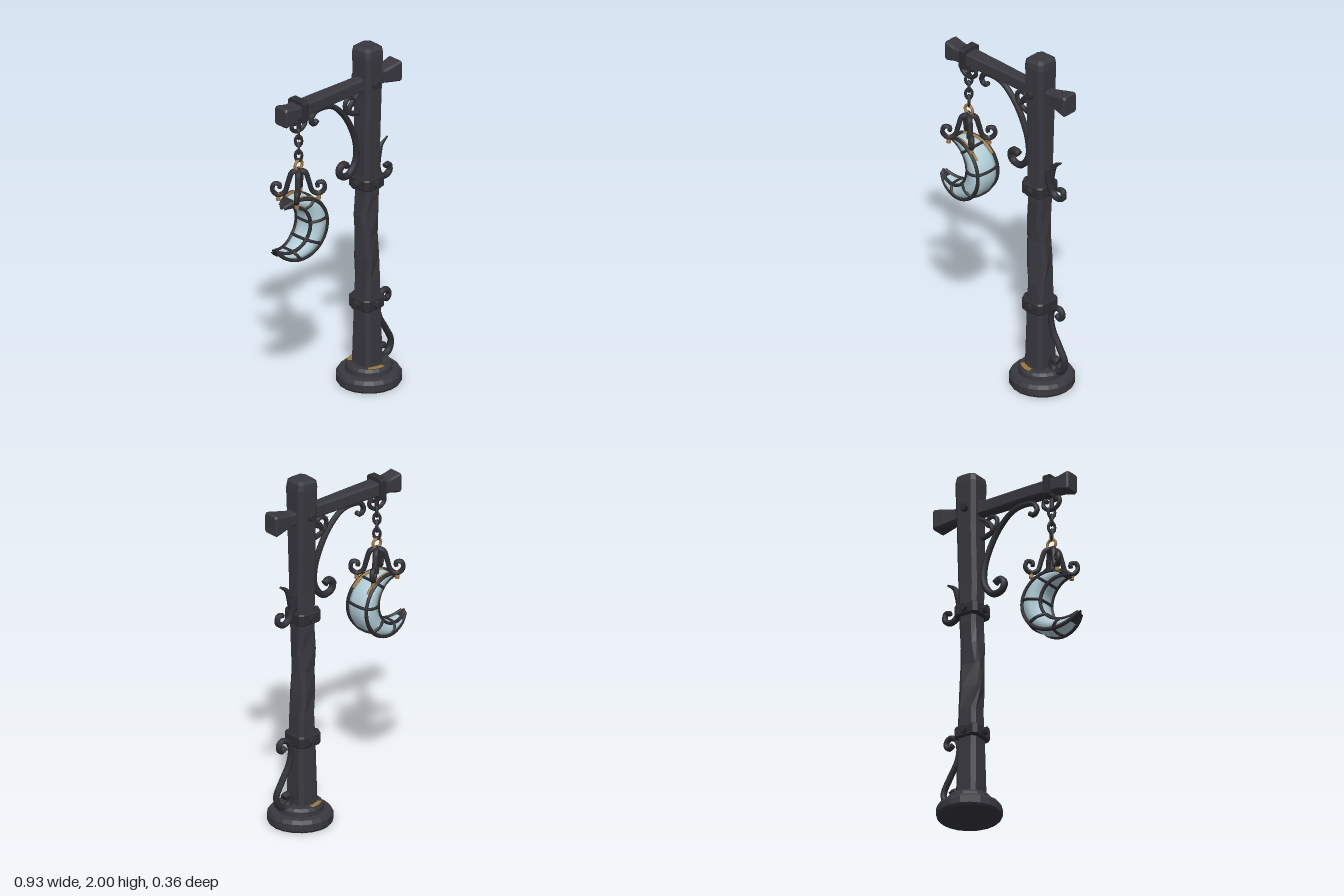
import * as THREE from 'three';

const V = (x, y, z) => new THREE.Vector3(x, y, z);
const paint = (name, color) => Object.assign(new THREE.MeshStandardMaterial({ color }), { name });

// Skin a row of rings (each counter-clockwise seen from the far end), with end caps
function loft(rings, flat = true) {
  const n = rings[0].length, pos = [], idx = [];
  rings.forEach(r => r.forEach(p => pos.push(p.x, p.y, p.z)));
  for (let i = 0; i < rings.length - 1; i++) for (let j = 0; j < n; j++) {
    const a = i * n + j, b = i * n + (j + 1) % n;
    idx.push(a, b, b + n, a, b + n, a + n);
  }
  const last = (rings.length - 1) * n;
  for (let j = 1; j < n - 1; j++) idx.push(0, j + 1, j, last, last + j, last + j + 1);
  let g = new THREE.BufferGeometry();
  g.setAttribute('position', new THREE.Float32BufferAttribute(pos, 3));
  g.setIndex(idx);
  if (flat) g = g.toNonIndexed();
  g.computeVertexNormals();
  return g;
}

// Chamfered rectangle outline as [u, v] pairs
function chamfer(a, b, c) {
  return [[a, -b + c], [a, b - c], [a - c, b], [-a + c, b], [-a, b - c], [-a, -b + c], [-a + c, -b], [a - c, -b]];
}

// Tapered wrought bar along a flat path in the xy plane
function scroll(points, r0, r1 = r0, depth = 1) {
  const curve = new THREE.CatmullRomCurve3(points.map(p => V(p[0], p[1], 0)));
  const steps = points.length * 5, rings = [];
  for (let i = 0; i <= steps; i++) {
    const t = i / steps, p = curve.getPointAt(t), d = curve.getTangentAt(t), r = r0 + (r1 - r0) * t;
    rings.push(Array.from({ length: 8 }, (_, k) => {
      const a = (k + 0.5) * Math.PI / 4, s = r * Math.sin(a);
      return V(p.x + d.y * s, p.y - d.x * s, r * depth * Math.cos(a));
    }));
  }
  return loft(rings, false);
}

export function createModel() {
  const root = new THREE.Group();
  const wood = paint('dark timber', 0x38383f);
  const iron = paint('dark iron', 0x2f2f34);
  const glass = paint('pale blue glass', 0xb4d0da);
  const gold = paint('aged gold', 0x9c7742);
  const add = (name, geo, mat, parent = root, x = 0, y = 0, z = 0) => {
    const m = new THREE.Mesh(geo, mat);
    m.name = name;
    m.position.set(x, y, z);
    parent.add(m);
    return m;
  };
  const flat = g => { const f = g.toNonIndexed(); f.computeVertexNormals(); return f; };

  // Stepped round base
  const profile = [[0, 0], [0.17, 0], [0.178, 0.012], [0.178, 0.05], [0.165, 0.07], [0.128, 0.073],
    [0.126, 0.1], [0.115, 0.115], [0, 0.115]].map(p => new THREE.Vector2(...p));
  add('base', flat(new THREE.LatheGeometry(profile, 20)), wood, root, 0.255);
  for (const s of [0.62, 1.38]) {
    const inlay = new THREE.RingGeometry(0.085, 0.114, 8, 1, Math.PI * s - 0.45, 0.9).rotateX(-Math.PI / 2);
    add('baseInlay', inlay, gold, root, 0.255, 0.118);
  }

  // Worn post: y, centre x, half width, half depth, twist
  const postRows = [[0.1, 0.243, 0.064, 0.072, 0], [0.45, 0.243, 0.059, 0.062, 0], [0.62, 0.245, 0.055, 0.058, 0.05],
    [0.75, 0.238, 0.06, 0.054, 0.3], [0.88, 0.235, 0.058, 0.048, 0.15], [1.0, 0.233, 0.058, 0.052, -0.15],
    [1.12, 0.24, 0.053, 0.057, 0], [1.35, 0.242, 0.06, 0.055, 0], [1.7, 0.245, 0.061, 0.064, 0],
    [1.95, 0.245, 0.066, 0.071, 0], [1.985, 0.245, 0.062, 0.066, 0], [2.0, 0.245, 0.045, 0.048, 0]];
  add('post', loft(postRows.map(([y, cx, hx, hz, tw]) => chamfer(hx, hz, 0.02).map(([u, v]) =>
    V(cx + u * Math.cos(tw) - v * Math.sin(tw), y, -(u * Math.sin(tw) + v * Math.cos(tw)))))), wood);

  // Cross beam with flared ends: x, centre y, half height, half depth
  const beamRows = [[-0.412, 1.798, 0.05, 0.04], [-0.4, 1.798, 0.056, 0.046], [-0.34, 1.798, 0.041, 0.045],
    [-0.1, 1.796, 0.038, 0.04], [0.1, 1.79, 0.039, 0.034], [0.34, 1.786, 0.038, 0.036],
    [0.4, 1.786, 0.05, 0.045], [0.45, 1.786, 0.06, 0.05], [0.462, 1.786, 0.053, 0.043]];
  add('beam', loft(beamRows.map(([x, cy, hy, hz]) =>
    chamfer(hy, hz, 0.01).map(([u, v]) => V(x, cy + u, v)))), wood);

  // Iron bands and bolts
  const bolt = (x, y, z, alongX) => {
    const g = new THREE.CylinderGeometry(0.022, 0.022, 0.04, 8);
    add('bolt', flat(alongX ? g.rotateZ(Math.PI / 2) : g.rotateX(Math.PI / 2)), iron, root, x, y, z);
  };
  for (const y of [0.483, 1.2]) {
    add('postBand', loft([[-0.034, 0.068], [-0.026, 0.074], [0.026, 0.074], [0.034, 0.068]].map(([dy, h]) =>
      chamfer(h, h + 0.003, 0.018).map(([u, v]) => V(0.238 + u, y + dy, -v)))), iron);
    bolt(0.157, y, 0, true);
    for (const s of [-1, 1]) bolt(0.238, y, s * 0.077, false);
  }
  for (const s of [-1, 1]) bolt(0.237, 1.79, s * 0.072, false);
  add('beamCollar', loft([-0.295, -0.255].map(x =>
    chamfer(0.062, 0.058, 0.012).map(([u, v]) => V(x, 1.798 + u, v)))), iron);

  // Scrollwork around the post
  add('bracketScroll', scroll([[-0.135, 1.685], [-0.16, 1.67], [-0.182, 1.695], [-0.16, 1.735], [-0.09, 1.745], [-0.02, 1.725],
    [0.06, 1.65], [0.12, 1.55], [0.157, 1.44], [0.155, 1.34], [0.1, 1.275], [0.045, 1.285], [0.03, 1.325],
    [0.06, 1.352], [0.088, 1.335]], 0.014, 0.02, 1.1), iron);
  add('bracketCurl', scroll([[0.175, 1.62], [0.12, 1.635], [0.08, 1.67], [0.08, 1.715], [0.115, 1.73],
    [0.145, 1.705], [0.13, 1.68], [0.11, 1.69]], 0.016, 0.01), iron);
  add('bracketTwig', scroll([[0.1, 1.64], [0.12, 1.69], [0.18, 1.735]], 0.014, 0.012), iron);
  add('sideCurl', scroll([[0.3, 1.34], [0.315, 1.25], [0.335, 1.195], [0.375, 1.175], [0.41, 1.195],
    [0.405, 1.235], [0.375, 1.232]], 0.022, 0.014, 1.2), iron);
  add('sideThorn', scroll([[0.3, 1.25], [0.325, 1.32], [0.35, 1.37], [0.395, 1.402]], 0.034, 0.005, 0.8), iron);
  add('lowerScroll', scroll([[0.36, 0.455], [0.385, 0.437], [0.405, 0.465], [0.38, 0.498], [0.335, 0.475], [0.32, 0.42],
    [0.335, 0.345], [0.38, 0.265], [0.42, 0.18], [0.4, 0.122], [0.35, 0.108], [0.325, 0.14], [0.345, 0.178],
    [0.372, 0.165]], 0.015, 0.018, 1.2), iron);

  // Hook and chain
  const lx = -0.275;
  add('hook', scroll([[-0.025, 1.72], [-0.045, 1.735], [-0.052, 1.705], [-0.03, 1.68], [0, 1.672], [0.03, 1.68],
    [0.052, 1.705], [0.045, 1.735], [0.025, 1.72]], 0.012), iron, root, lx);
  add('hookStem', new THREE.CylinderGeometry(0.012, 0.012, 0.07, 8), iron, root, lx, 1.71);
  for (let i = 0; i < 4; i++) {
    const link = add('chainLink', new THREE.TorusGeometry(0.018, 0.008, 6, 12), iron, root, lx, 1.655 - i * 0.044);
    link.scale.y = 1.55;
    link.rotation.y = Math.PI / 4 + i * Math.PI / 2;
  }
  add('lanternRing', new THREE.TorusGeometry(0.027, 0.008, 8, 16), gold, root, lx, 1.468);

  // Four-armed crown above the lantern
  const armPath = [[0, 1.438], [0.035, 1.425], [0.055, 1.37], [0.075, 1.31], [0.11, 1.295],
    [0.14, 1.325], [0.13, 1.362], [0.1, 1.355], [0.103, 1.335]];
  for (const a of [40, 140, 220, 320]) {
    const arm = new THREE.Group();
    arm.name = 'crownArm';
    arm.position.x = lx;
    arm.rotation.y = a * Math.PI / 180;
    root.add(arm);
    add('armScroll', scroll(armPath, 0.015, 0.012, 1.1), iron, arm);
    add('armBead', new THREE.CylinderGeometry(0.009, 0.013, 0.045, 8), gold, arm, 0.108, 1.285);
  }
  add('crownRod', new THREE.CylinderGeometry(0.01, 0.012, 0.09, 8), iron, root, lx, 1.325);

  // Crescent lantern: sections run from the lower tip (t = 0) round to the upper tip (t = 1)
  const lantern = new THREE.Group();
  lantern.name = 'crescentLantern';
  root.add(lantern);
  const rad = Math.PI / 180;
  const at = (t, f, w, grow = 1) => {
    const s = Math.sin(Math.PI * t), R = 0.174 - 0.013 * t + 0.022 * s;
    const a = (-149 + 275 * t) * rad, b = (-133.4 + 239 * t) * rad;
    const fg = 0.5 + (f - 0.5) * grow;
    const outer = V(-0.315 + R * Math.cos(a), 1.12 + R * Math.sin(a), 0);
    const inner = V(-0.375 + 0.131 * Math.cos(b), 1.125 + 0.131 * Math.sin(b), 0);
    return inner.lerp(outer, fg).setZ(w * grow * (0.005 + 0.085 * Math.pow(Math.max(s, 0), 0.65)));
  };
  const half = [[0.45, 0.93], [0.86, 0.88], [1, 0.4]], low = [[0, 0.2], [0.05, 0.62]];
  const section = [...half, ...half.slice().reverse().map(([f, w]) => [f, -w]),
    ...low.slice().reverse().map(([f, w]) => [f, -w]), ...low];
  const ring = (t, grow) => section.map(([f, w]) => at(t, f, w, grow));
  const span = (a, b, n) => Array.from({ length: n + 1 }, (_, i) => a + (b - a) * i / n);
  add('glassBody', loft(span(0.06, 0.94, 28).map(t => ring(t, 1)), false), glass, lantern);
  add('lowerTip', loft(span(0, 0.09, 4).map(t => ring(t, 1.12))), iron, lantern);
  add('upperTip', loft(span(0.9, 1, 4).map(t => ring(t, 1.12))), iron, lantern);

  // Lead ribs across and along the glass
  const tube = (pts, r, closed) =>
    new THREE.TubeGeometry(new THREE.CatmullRomCurve3(pts, closed), closed ? 48 : 40, r, 6, closed);
  for (const t of [0.21, 0.39, 0.57, 0.75]) add('crossRib', tube(ring(t, 1), 0.009, true), iron, lantern);
  for (const s of [-1, 1]) {
    for (const [f, w, r] of [[0.9, 0.86, 0.011], [0.04, 0.6, 0.01]])
      add('edgeRib', tube(span(0.02, 0.98, 20).map(t => at(t, f, s * w)), r, false), iron, lantern);
    add('goldTrim', tube(span(0.66, 0.9, 8).map(t => at(t, 0.97, s * 0.72)), 0.009, false), gold, lantern);
  }
  return root;
}
